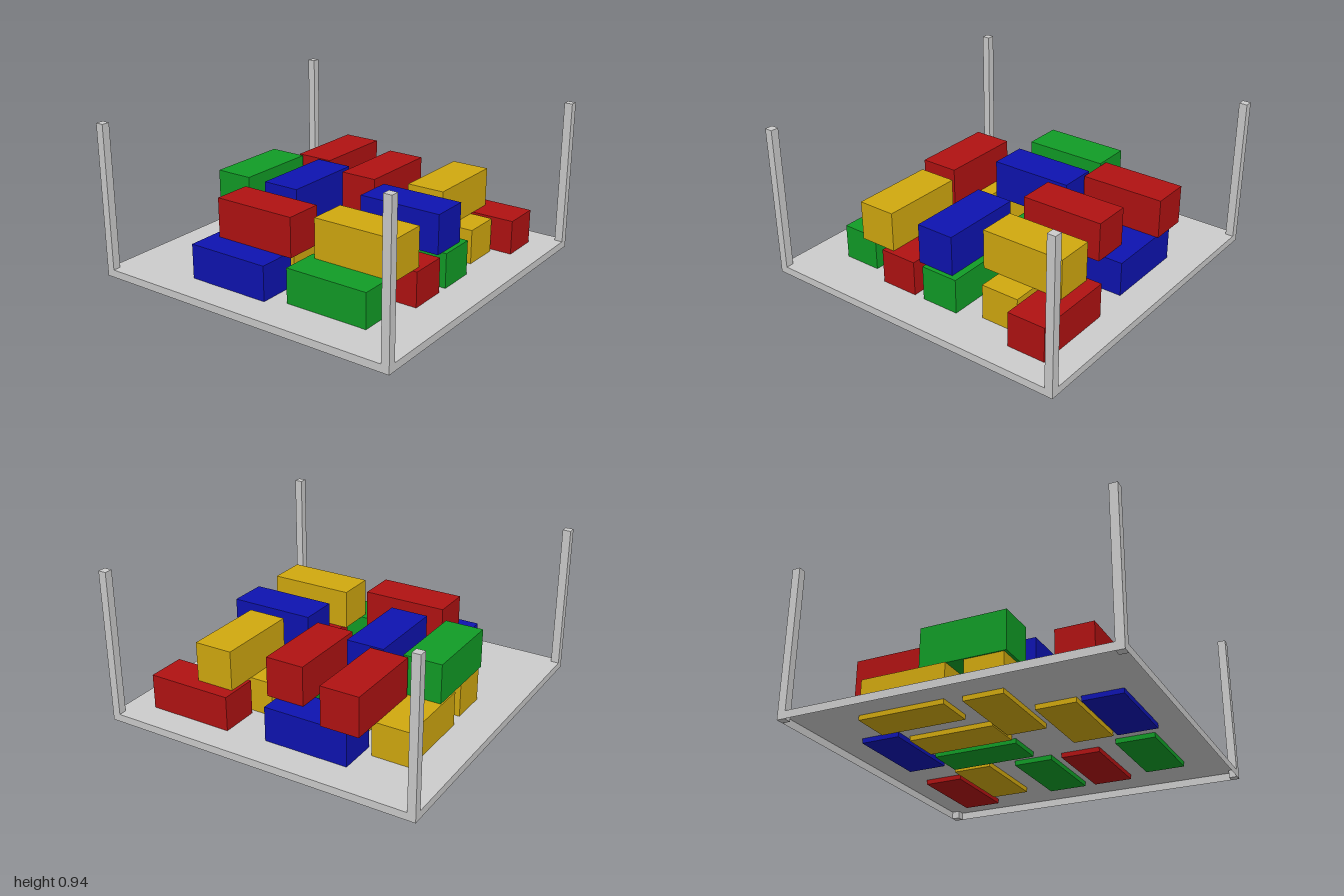
import * as THREE from 'three';

const BRICK = { length: 0.53, width: 0.24, height: 0.243 };
const COLORS = { red: 0xb01212, green: 0x119c26, yellow: 0xd0a80f, blue: 0x0e13b0 };

// [colour, lies along 'x' or 'z', centre x, centre z]
const LOWER = [
  ['blue', 'z', -0.685, -0.225],
  ['yellow', 'z', -0.418, -0.225],
  ['yellow', 'z', -0.125, -0.49],
  ['yellow', 'x', 0.365, -0.65],
  ['yellow', 'x', 0.27, -0.27],
  ['blue', 'z', 0.68, -0.21],
  ['green', 'x', 0.27, 0.02],
  ['green', 'z', -0.627, 0.42],
  ['red', 'z', -0.257, 0.495],
  ['green', 'z', 0.05, 0.495],
  ['yellow', 'z', 0.435, 0.44],
  ['red', 'z', 0.705, 0.565],
];
const UPPER = [
  ['red', 'z', -0.512, -0.17],
  ['green', 'x', 0.003, -0.642],
  ['red', 'x', 0.55, -0.44],
  ['blue', 'x', 0.003, -0.275],
  ['red', 'x', 0.42, -0.006],
  ['yellow', 'z', -0.435, 0.467],
  ['blue', 'z', 0.005, 0.467],
  ['yellow', 'x', 0.475, 0.44],
];

export function createModel() {
  const model = new THREE.Group();
  const grey = new THREE.MeshStandardMaterial({ color: 0xcccccc });
  const greyOpen = new THREE.MeshStandardMaterial({ color: 0xcccccc, side: THREE.DoubleSide });

  // Base tray: a slab hollow from below (the bottom face, indices 18-23, is left out)
  const baseHeight = 0.047;
  const slab = new THREE.BoxGeometry(2, baseHeight, 2);
  const index = Array.from(slab.index.array);
  index.splice(18, 6);
  slab.setIndex(index);
  slab.clearGroups();
  const base = new THREE.Mesh(slab, greyOpen);
  base.name = 'base';
  base.position.y = baseHeight / 2;
  model.add(base);

  // Corner posts
  const postSize = 0.05, postHeight = 0.94;
  const postGeometry = new THREE.BoxGeometry(postSize, postHeight, postSize);
  for (const sx of [-1, 1]) {
    for (const sz of [-1, 1]) {
      const post = new THREE.Mesh(postGeometry, grey);
      post.name = 'cornerPost';
      post.position.set(sx * (1 - postSize / 2), postHeight / 2, sz * (1 - postSize / 2));
      model.add(post);
    }
  }

  // Two layers of bricks; the lower one is sunk through the base top
  const brickGeometry = new THREE.BoxGeometry(BRICK.length, BRICK.height, BRICK.width);
  const materials = {};
  for (const key in COLORS) materials[key] = new THREE.MeshStandardMaterial({ color: COLORS[key] });

  const addLayer = (name, bricks, bottom) => {
    const layer = new THREE.Group();
    layer.name = name;
    for (const [color, axis, x, z] of bricks) {
      const brick = new THREE.Mesh(brickGeometry, materials[color]);
      brick.name = color + 'Brick';
      brick.position.set(x, bottom + BRICK.height / 2, z);
      if (axis === 'z') brick.rotation.y = Math.PI / 2;
      layer.add(brick);
    }
    model.add(layer);
  };
  addLayer('lowerBricks', LOWER, 0.018);
  addLayer('upperBricks', UPPER, 0.261);

  return model;
}
